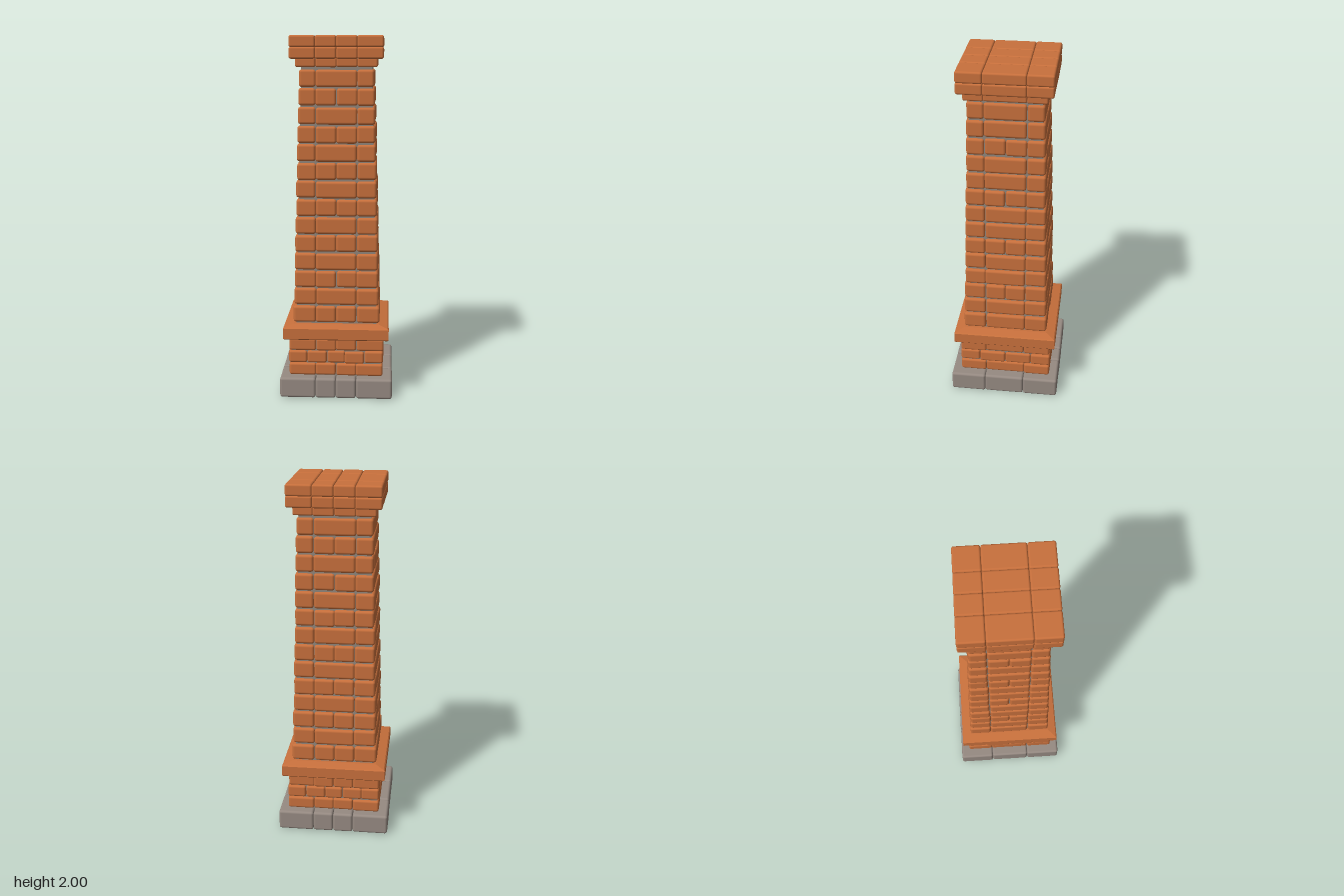
import * as THREE from 'three';
import { RoundedBoxGeometry } from 'three/addons/geometries/RoundedBoxGeometry.js';
import { mergeGeometries } from 'three/addons/utils/BufferGeometryUtils.js';

const mat = (name, color) => new THREE.MeshStandardMaterial({ name, color });

// Seeded generator for slight hand-laid irregularity
function seeded(seed) {
  return () => (seed = (seed * 16807) % 2147483647) / 2147483647;
}

// One course of soft-edged blocks, cut at the given x and z seams
function course(y0, y1, half, xSeams, zSeams, radius, rand, hollow, jitter) {
  const xs = [-half, ...xSeams, half], zs = [-half, ...zSeams, half];
  const blocks = [];
  for (let i = 0; i < xs.length - 1; i++) {
    for (let k = 0; k < zs.length - 1; k++) {
      const edgeX = i === 0 || i === xs.length - 2;
      const edgeZ = k === 0 || k === zs.length - 2;
      if (hollow && !edgeX && !edgeZ) continue;
      const w = xs[i + 1] - xs[i], d = zs[k + 1] - zs[k];
      const geo = new RoundedBoxGeometry(w, y1 - y0, d, 2, radius);
      geo.translate(
        (xs[i] + xs[i + 1]) / 2 + (rand() - 0.5) * jitter,
        (y0 + y1) / 2 + (rand() - 0.5) * jitter,
        (zs[k] + zs[k + 1]) / 2 + (rand() - 0.5) * jitter);
      blocks.push(geo);
    }
  }
  return mergeGeometries(blocks);
}

// Square solid turned from a [half width, y] profile
function squareLathe(profile) {
  const pts = profile.map(([h, y]) => new THREE.Vector2(h * Math.SQRT2, y));
  const geo = new THREE.LatheGeometry(pts, 4).rotateY(Math.PI / 4).toNonIndexed();
  geo.computeVertexNormals();
  return geo;
}

export function createModel() {
  const group = new THREE.Group();
  const brick = mat('terracotta brick', 0xc8703c);
  const stone = mat('grey stone', 0x968a82);
  const mortar = mat('mortar', 0x8e847a);
  const rand = seeded(41);
  const add = (name, geo, material) => {
    const mesh = new THREE.Mesh(geo, material);
    mesh.name = name;
    group.add(mesh);
  };
  const four = [-0.113, 0, 0.113], three = [-0.113, 0.113];

  // Stone plinth
  add('plinth', course(0, 0.115, 0.314, four, three, 0.014, rand, false, 0.002), stone);

  // Mortar core seen between the bricks
  add('mortarCore', squareLathe([
    [0, 0.1], [0.25, 0.1], [0.25, 0.36], [0.226, 0.36], [0.191, 1.84], [0.191, 1.9], [0, 1.9],
  ]), mortar);

  // Pedestal courses below the band
  for (let i = 0; i < 3; i++) {
    const y = 0.115 + i * 0.073;
    add('pedestalCourse', course(y, y + 0.07, 0.264, i % 2 ? [-0.16, -0.05, 0.05, 0.16] : four,
      i % 2 ? [-0.15, 0, 0.15] : three, 0.013, rand, true, 0.006), brick);
  }

  // Projecting band with a weathered top
  add('band', squareLathe([
    [0, 0.332], [0.288, 0.332], [0.294, 0.338], [0.294, 0.396], [0.288, 0.402],
    [0.24, 0.412], [0, 0.412],
  ]), brick);

  // Tapering shaft courses
  const n = 14;
  for (let i = 0; i < n; i++) {
    const y = 0.418 + i * 0.1005;
    const half = 0.24 - 0.035 * i / (n - 1);
    add('shaftCourse', course(y, y + 0.094, half, i % 2 ? three : four,
      i % 3 === 2 ? four : three, 0.015, rand, true, 0.005), brick);
  }

  // Neck and two-course cap
  add('neck', course(1.832, 1.882, 0.221, four, three, 0.01, rand, true, 0.003), brick);
  add('capLower', course(1.876, 1.939, 0.253, four, three, 0.011, rand, false, 0.002), brick);
  add('capUpper', course(1.937, 2.0, 0.253, four, three, 0.011, rand, false, 0), brick);
  return group;
}
